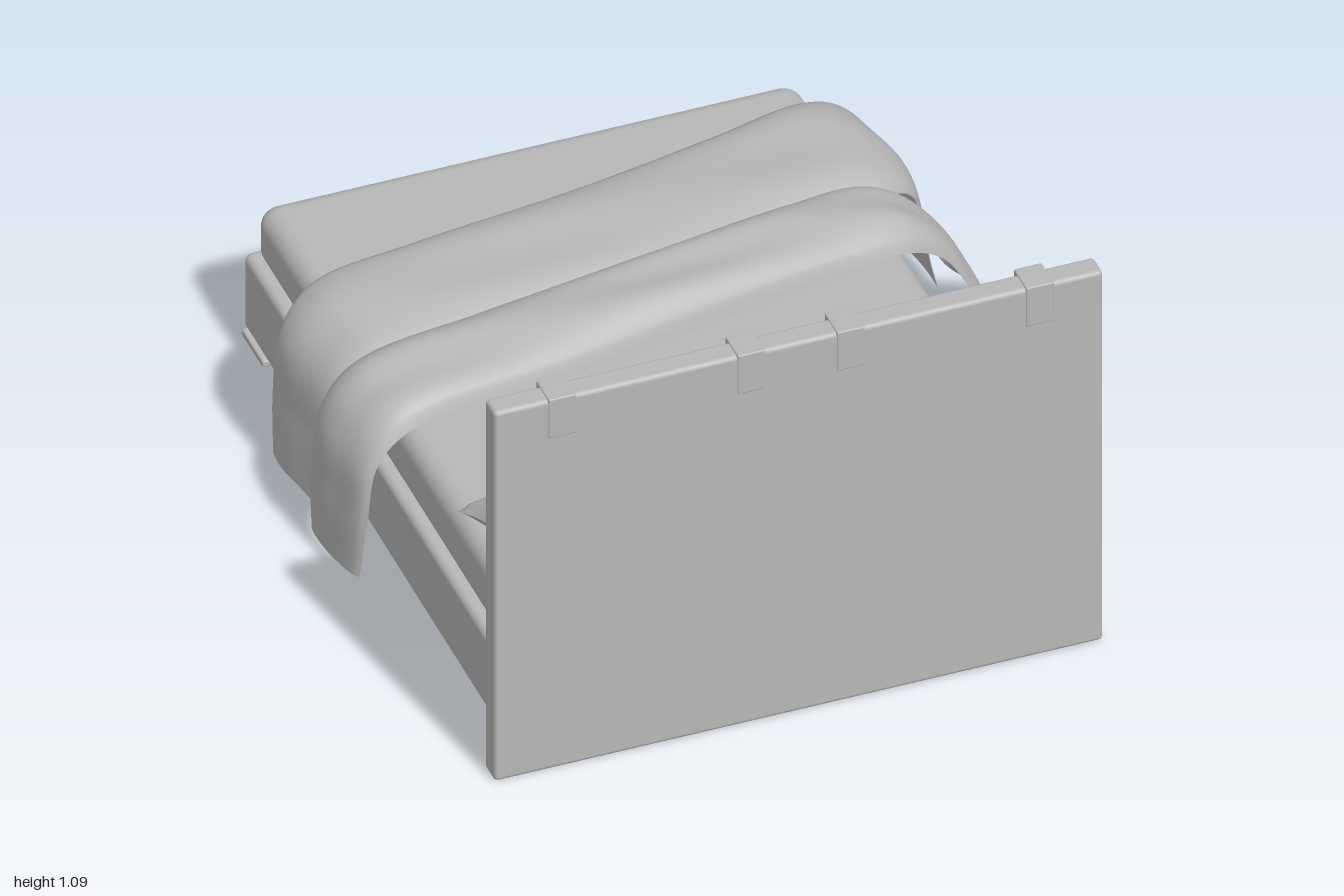
import * as THREE from 'three';
import { mergeGeometries } from 'three/addons/utils/BufferGeometryUtils.js';
import { RoundedBoxGeometry } from 'three/addons/geometries/RoundedBoxGeometry.js';

const CENTRE = -0.08; // middle of the bed across its width
const fabric = new THREE.MeshStandardMaterial({ color: 0xb8b8b8, side: THREE.DoubleSide });
fabric.name = 'greyFabric';

function add(parent, name, geometry, x = 0, y = 0, z = 0) {
  const mesh = new THREE.Mesh(geometry, fabric);
  mesh.name = name;
  mesh.position.set(x, y, z);
  parent.add(mesh);
  return mesh;
}

// Rounded box given by its centre x, size and y / z ranges
function block(parent, name, x, w, [y0, y1], [z0, z1], r) {
  const g = new RoundedBoxGeometry(w, y1 - y0, z1 - z0, 4, r);
  return add(parent, name, g, x, (y0 + y1) / 2, (z0 + z1) / 2);
}

// Moves every vertex of a geometry by a rule
function reshape(geometry, rule) {
  const p = geometry.attributes.position;
  const v = new THREE.Vector3();
  for (let i = 0; i < p.count; i++) {
    rule(v.fromBufferAttribute(p, i));
    p.setXYZ(i, v.x, v.y, v.z);
  }
  geometry.computeVertexNormals();
  return geometry;
}

// Cushion lying flat: two bulged faces meeting at a pinched seam
function pillowGeometry(halfW, halfD, thick, seed) {
  const face = (turn) => reshape(new THREE.PlaneGeometry(2, 2, 32, 32).rotateX(turn), (v) => {
    const u = v.x, w = v.z;
    const a = Math.max(0, 1 - u * u), b = Math.max(0, 1 - w * w);
    const folds = 1 + 0.1 * Math.sin(7 * u + 4 * w + seed) * Math.sin(5 * w - 3 * u + seed * 2);
    const side = turn < 0 ? 1 : -1;
    v.set(halfW * u * (1 - 0.1 * b), side * thick * Math.pow(a * b, 0.45) * folds, halfD * w * (1 - 0.1 * a));
    v.y += 0.015 * Math.sin(3 * u + seed) * w;
  });
  return mergeGeometries([face(-Math.PI / 2), face(Math.PI / 2)]);
}

// Padded face with rows of button dimples joined by shallow grooves
function tuftedGeometry(w, h) {
  const g = new THREE.PlaneGeometry(w, h, 56, 64);
  reshape(g, (v) => {
    const ex = 1 - Math.pow(Math.abs(v.x) / (w / 2), 10);
    const ey = 1 - Math.pow(Math.abs(v.y) / (h / 2), 10);
    let depth = 0.022 * Math.sqrt(Math.max(0, ex * ey));
    for (let c = -1; c <= 1; c++) {
      const dx = v.x - c * w / 4;
      for (let r = -2; r <= 2; r++) {
        const dy = v.y - r * 0.125;
        depth -= 0.012 * Math.exp(-(dx * dx + dy * dy) / 0.0003);
        depth -= 0.004 * Math.exp(-(dy * dy) / 0.0001 - (dx * dx) / 0.003);
        depth -= 0.004 * Math.exp(-(dx * dx) / 0.0001 - (dy * dy) / 0.002);
      }
    }
    v.z = depth;
  });
  return g.rotateY(Math.PI);
}

// Draped cloth; each station is x, y, far z, near z, puff
function drapeGeometry(stations, seed) {
  const far = new THREE.CatmullRomCurve3(stations.map(([x, y, f]) => new THREE.Vector3(x, y, f)));
  const near = new THREE.CatmullRomCurve3(stations.map(([x, y, , n]) => new THREE.Vector3(x, y, n)));
  const last = stations.length - 1;
  return reshape(new THREE.PlaneGeometry(1, 1, 96, 28), (v) => {
    const t = v.x + 0.5, s = v.y + 0.5;
    const tangent = far.getTangent(t);
    const i = Math.min(last - 1, Math.floor(t * last));
    const puff = THREE.MathUtils.lerp(stations[i][4], stations[i + 1][4], t * last - i);
    const fold = 1 + 0.12 * Math.sin(9 * s + 14 * t + seed) * Math.sin(17 * t + seed);
    const lift = puff * Math.pow(Math.max(0, 4 * s * (1 - s)), 0.5) * fold;
    v.lerpVectors(near.getPoint(t), far.getPoint(t), s);
    v.x -= tangent.y * lift;
    v.y = Math.max(0.002, v.y + tangent.x * lift);
  });
}

export function createModel() {
  const model = new THREE.Group();
  model.name = 'bed';

  // The bed frame stands at a slight angle
  const bed = new THREE.Group();
  bed.name = 'bedFrame';
  bed.rotation.y = -0.134;
  model.add(bed);

  block(bed, 'headboard', -0.085, 1.53, [0, 1.09], [0.85, 0.915], 0.012);
  block(bed, 'base', CENTRE, 1.405, [0.03, 0.248], [-0.905, 0.852], 0.02);

  // Mattress sinks gently towards the foot end
  const mattress = new RoundedBoxGeometry(1.36, 0.18, 1.675, 6, 0.05);
  reshape(mattress, (v) => {
    if (v.y > 0 && v.z < -0.7) v.y -= 0.02;
  });
  add(bed, 'mattress', mattress, CENTRE, 0.33, -0.05);

  for (const side of [-1, 1]) {
    // Flat feet under the foot end
    block(bed, 'foot', CENTRE + side * 0.62, 0.17, [0, 0.02], [-0.91, -0.77], 0.006);
    block(bed, 'footSpacer', CENTRE + side * 0.62, 0.1, [0.015, 0.04], [-0.88, -0.8], 0.004);

    // Hanging back cushions with tufted faces
    const x = CENTRE + side * 0.365;
    block(bed, 'backCushion', x, 0.67, [0.25, 1.01], [0.805, 0.84], 0.015);
    add(bed, 'tuftedFace', tuftedGeometry(0.645, 0.735), x, 0.63, 0.806);

    // Straps looped over the headboard
    for (const off of [0.125, 0.6]) {
      block(bed, 'strap', CENTRE + side * off, 0.07, [0.98, 1.094], [0.835, 0.918], 0.004);
    }

    // Large sleeping pillow leaning on the cushion
    const pillow = add(bed, 'pillow', pillowGeometry(0.34, 0.19, 0.085, side + 2),
      CENTRE + side * 0.345, 0.505, 0.625);
    pillow.rotation.x = -0.4;
  }

  // Small square pillows in front
  for (const [x, z, turn] of [[-0.37, 0.465, 0], [0.215, 0.435, -0.03]]) {
    const small = add(bed, 'smallPillow', pillowGeometry(0.205, 0.205, 0.07, x * 9), x, 0.535, z);
    small.rotation.set(-0.45, turn, 0, 'YXZ');
  }

  // Lower blanket layer
  add(model, 'blanket', drapeGeometry([
    [-0.82, 0.03, -0.55, -0.27, 0.02],
    [-0.81, 0.2, -0.57, -0.27, 0.02],
    [-0.78, 0.36, -0.58, -0.26, 0.03],
    [-0.69, 0.425, -0.61, -0.26, 0.045],
    [-0.4, 0.43, -0.62, -0.25, 0.055],
    [0, 0.43, -0.62, -0.25, 0.055],
    [0.4, 0.43, -0.64, -0.25, 0.055],
    [0.64, 0.43, -0.66, -0.26, 0.05],
    [0.74, 0.38, -0.67, -0.29, 0.04],
    [0.79, 0.25, -0.67, -0.32, 0.03],
    [0.82, 0.12, -0.69, -0.34, 0.02],
    [0.85, 0.01, -0.71, -0.35, 0.015],
  ], 1));

  // Upper folded layer
  add(model, 'foldedBlanket', drapeGeometry([
    [-0.88, 0.03, -0.25, -0.02, 0.02],
    [-0.87, 0.2, -0.27, 0, 0.025],
    [-0.84, 0.36, -0.27, 0, 0.035],
    [-0.75, 0.43, -0.28, 0, 0.06],
    [-0.4, 0.43, -0.29, 0, 0.09],
    [0, 0.43, -0.29, -0.02, 0.09],
    [0.4, 0.43, -0.31, -0.04, 0.08],
    [0.6, 0.42, -0.31, -0.05, 0.06],
    [0.71, 0.35, -0.3, -0.07, 0.045],
    [0.79, 0.22, -0.31, -0.08, 0.035],
    [0.86, 0.1, -0.33, -0.1, 0.025],
    [0.94, 0.01, -0.35, -0.1, 0.015],
  ], 3));

  return model;
}
